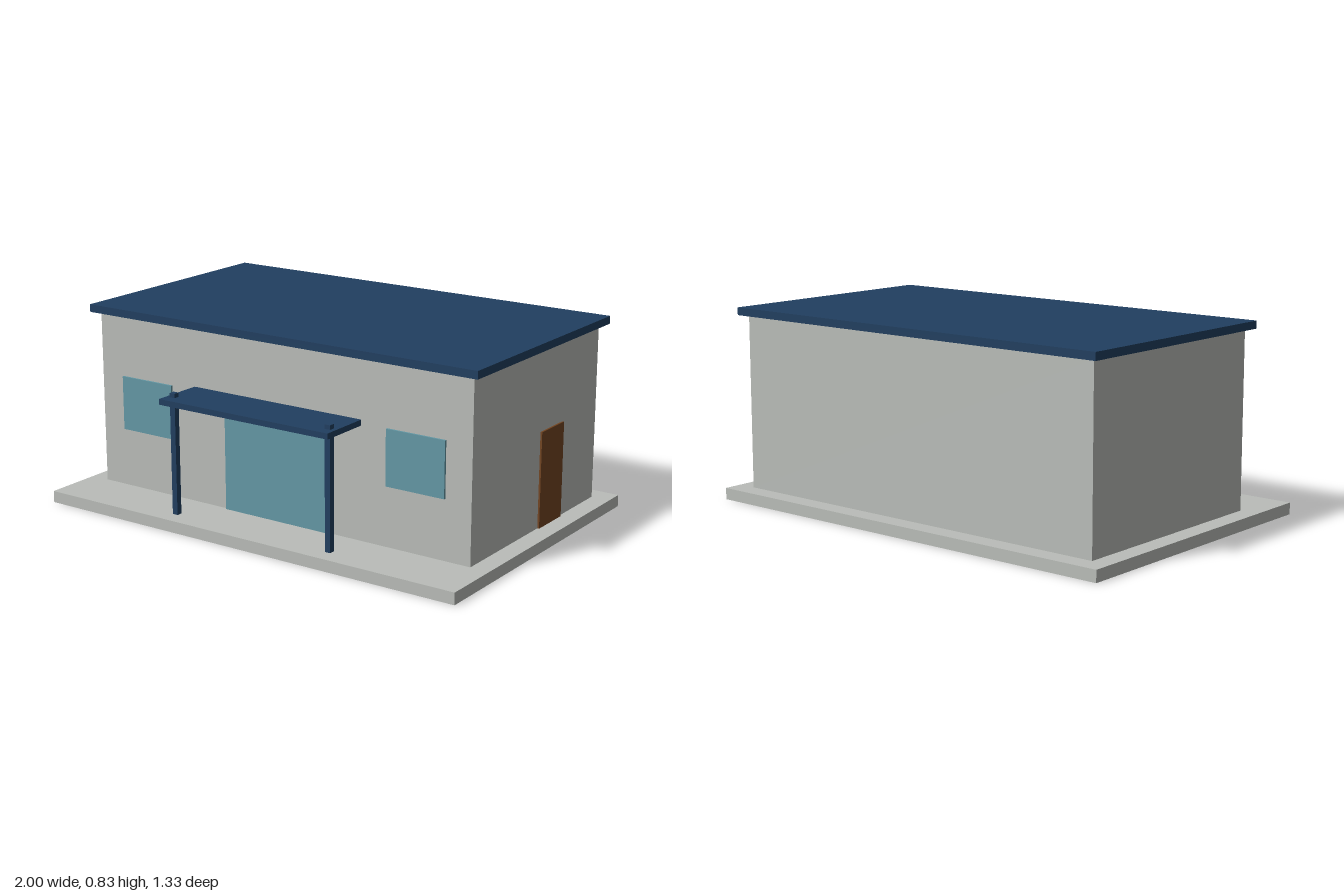
import * as THREE from 'three';

export function createModel() {
  const model = new THREE.Group();
  model.name = 'building';

  const material = (name, color) => {
    const m = new THREE.MeshStandardMaterial({ color });
    m.name = name;
    return m;
  };
  const concrete = material('concrete', 0xbabdb9);
  const navy = material('navy', 0x213f60);
  const glass = material('glass', 0x6498a5);
  const wood = material('wood', 0x734522);

  // Box given by its extents along each axis
  const box = (name, mat, [x0, x1], [y0, y1], [z0, z1]) => {
    const mesh = new THREE.Mesh(new THREE.BoxGeometry(x1 - x0, y1 - y0, z1 - z0), mat);
    mesh.position.set((x0 + x1) / 2, (y0 + y1) / 2, (z0 + z1) / 2);
    mesh.name = name;
    model.add(mesh);
  };

  // Main volume
  box('foundation', concrete, [-1, 1], [0, 0.05], [-0.667, 0.667]);
  box('walls', concrete, [-0.917, 0.917], [0.05, 0.8], [-0.583, 0.417]);
  box('roof', navy, [-0.95, 0.95], [0.8, 0.833], [-0.617, 0.45]);

  // Glazed entrance and side door
  box('glassEntrance', glass, [-0.253, 0.253], [0.05, 0.493], [0.417, 0.426]);
  box('sideDoor', wood, [0.917, 0.925], [0.05, 0.455], [-0.291, -0.108]);

  // Entrance canopy
  box('canopy', navy, [-0.415, 0.415], [0.525, 0.549], [0.417, 0.643]);

  // Windows and canopy posts on both sides
  for (const [side, s] of [['right', -1], ['left', 1]]) {
    const x = s * 0.668;
    box(side + 'Window', glass, [x - 0.133, x + 0.133], [0.302, 0.535], [0.417, 0.426]);
    const p = s * 0.383;
    box(side + 'Post', navy, [p - 0.0125, p + 0.0125], [0.05, 0.567], [0.574, 0.599]);
  }

  return model;
}
